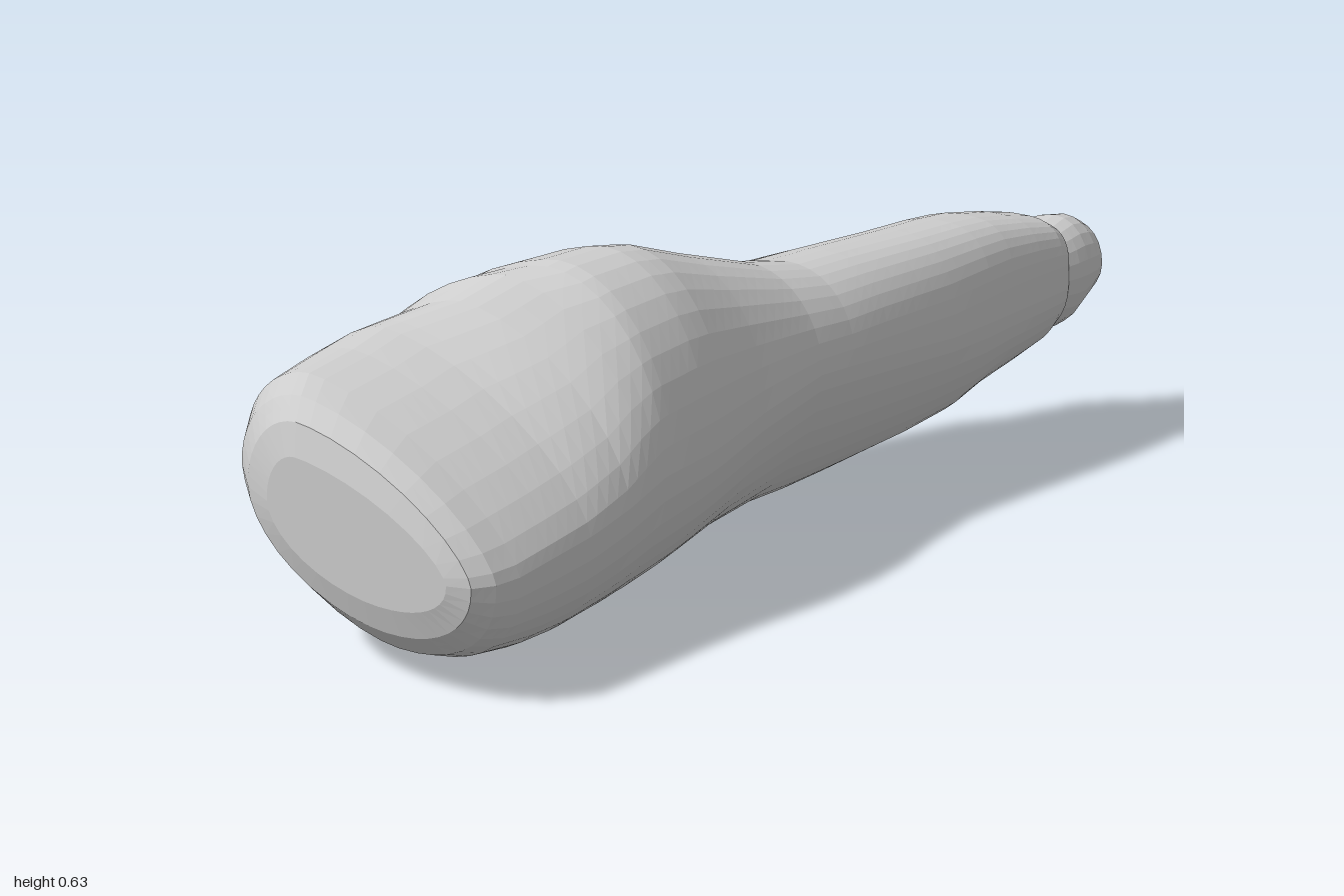
import * as THREE from 'three';

// Body extents along its length: z, left x, right x, bottom y, top y
const bodyExtents = [
  [1.0, -0.15, 0.25, 0.15, 0.37],
  [0.985, -0.21, 0.29, 0.1, 0.425],
  [0.95, -0.26, 0.312, 0.06, 0.458],
  [0.9, -0.295, 0.318, 0.04, 0.48],
  [0.8, -0.335, 0.32, 0.018, 0.5],
  [0.7, -0.34, 0.322, 0.008, 0.53],
  [0.62, -0.343, 0.322, 0.003, 0.56],
  [0.57, -0.346, 0.322, 0.001, 0.605],
  [0.5, -0.35, 0.322, 0.002, 0.627],
  [0.4, -0.345, 0.32, 0.01, 0.635],
  [0.34, -0.31, 0.315, 0.016, 0.628],
  [0.2, -0.275, 0.297, 0.03, 0.585],
  [0.0, -0.25, 0.282, 0.035, 0.53],
  [-0.1, -0.23, 0.288, 0.042, 0.515],
  [-0.2, -0.18, 0.298, 0.055, 0.52],
  [-0.4, -0.1, 0.322, 0.085, 0.525],
  [-0.52, -0.06, 0.332, 0.11, 0.527],
  [-0.6, -0.035, 0.336, 0.145, 0.525],
  [-0.7, 0.03, 0.342, 0.175, 0.512],
  [-0.78, 0.055, 0.345, 0.2, 0.497],
  [-0.815, 0.08, 0.338, 0.22, 0.48],
];

// Section character: z, crest x, keel x, left y, right y, then the roundness of
// the upper right, upper left, lower left and lower right quarters
const bodyShape = [
  [1.0, -0.08, 0.1, 0.28, 0.22, 1.5, 2, 1.8, 2.2],
  [0.9, -0.14, 0.09, 0.34, 0.22, 1.45, 1.9, 1.6, 2.3],
  [0.72, -0.13, 0.07, 0.34, 0.24, 1.5, 1.7, 1.75, 2.2],
  [0.62, -0.05, 0.05, 0.34, 0.26, 1.65, 1.6, 1.9, 2.1],
  [0.52, 0.07, 0.05, 0.34, 0.29, 1.95, 1.6, 2.1, 2],
  [0.36, 0.1, 0.05, 0.34, 0.3, 2, 1.5, 2.5, 1.85],
  [0.2, 0.1, 0.05, 0.3, 0.32, 2, 1.5, 3.3, 1.75],
  [0.0, 0.11, 0.05, 0.28, 0.34, 2, 1.6, 3.2, 1.65],
  [-0.4, 0.18, 0.13, 0.29, 0.33, 2.6, 1.8, 3, 1.75],
  [-0.815, 0.22, 0.2, 0.33, 0.35, 3.6, 2, 2.6, 2.1],
];

const tipExtents = [
  [-0.8, 0.11, 0.325, 0.25, 0.45],
  [-0.82, 0.085, 0.338, 0.237, 0.465],
  [-0.85, 0.078, 0.345, 0.232, 0.473],
  [-0.88, 0.1, 0.348, 0.237, 0.48],
  [-0.92, 0.155, 0.346, 0.275, 0.475],
  [-0.96, 0.185, 0.335, 0.29, 0.457],
  [-0.985, 0.205, 0.315, 0.315, 0.43],
  [-1.0, 0.24, 0.28, 0.35, 0.395],
];
const tipShape = [
  [-0.8, 0.26, 0.22, 0.31, 0.36, 2.2, 1.6, 2.5, 2],
  [-1.0, 0.26, 0.26, 0.37, 0.37, 2, 2, 2, 2],
];

// Straight interpolation of a station table, rows ordered by falling z
function sample(table, z) {
  let i = 0;
  while (i < table.length - 2 && table[i + 1][0] > z) i++;
  const [a, b] = [table[i], table[i + 1]];
  const t = THREE.MathUtils.clamp((a[0] - z) / (a[0] - b[0]), 0, 1);
  return a.map((v, k) => THREE.MathUtils.lerp(v, b[k], t));
}

// One closed section: four super-ellipse quarters joining the extreme points
function section(extents, shape, z, sides) {
  const [, xl, xr, yb, yt] = sample(extents, z);
  const [, xt, xb, yl, yr, ...round] = sample(shape, z);
  const ring = [];
  for (let j = 0; j < sides; j++) {
    const a = (j / sides) * Math.PI * 2;
    const q = Math.floor((j * 4) / sides);
    const right = q === 0 || q === 3;
    const upper = q < 2;
    const cx = upper ? xt : xb;
    const cy = right ? yr : yl;
    const c = Math.abs(Math.cos(a)) ** (2 / round[q]);
    const s = Math.abs(Math.sin(a)) ** (2 / round[q]);
    ring.push([cx + ((right ? xr : xl) - cx) * c, cy + ((upper ? yt : yb) - cy) * s]);
  }
  return ring;
}

// Skin the sections and close both ends
function loft(extents, shape, step, sides) {
  const zs = [];
  extents.forEach(([z], i) => {
    const next = extents[i + 1];
    const n = next ? Math.max(1, Math.ceil((z - next[0]) / step)) : 1;
    for (let k = 0; k < n; k++) zs.push(next ? THREE.MathUtils.lerp(z, next[0], k / n) : z);
  });
  const pos = [];
  const index = [];
  const ends = [];
  zs.forEach((z, i) => {
    const ring = section(extents, shape, z, sides);
    ring.forEach(([x, y]) => pos.push(x, y, z));
    if (i === 0 || i === zs.length - 1) {
      ends.push([0, 1].map((k) => ring.reduce((sum, p) => sum + p[k], 0) / sides).concat(z));
    }
  });
  const last = (zs.length - 1) * sides;
  const front = zs.length * sides;
  pos.push(...ends[0], ...ends[1]);
  for (let j = 0; j < sides; j++) {
    const k = (j + 1) % sides;
    for (let i = 0; i < zs.length - 1; i++) {
      const a = i * sides;
      const b = a + sides;
      index.push(a + j, b + j, b + k, a + j, b + k, a + k);
    }
    index.push(front, j, k, front + 1, last + k, last + j);
  }
  const geometry = new THREE.BufferGeometry();
  geometry.setAttribute('position', new THREE.Float32BufferAttribute(pos, 3));
  geometry.setIndex(index);
  geometry.computeVertexNormals();
  return geometry;
}

export function createModel() {
  const model = new THREE.Group();
  model.name = 'taperedLump';
  const material = new THREE.MeshStandardMaterial({ color: 0xcccccc, flatShading: true });

  // Long tapering body with a hump and a sloping front face
  const body = new THREE.Mesh(loft(bodyExtents, bodyShape, 0.03, 40), material);
  body.name = 'body';

  // Small knob behind the groove at the narrow end
  const tip = new THREE.Mesh(loft(tipExtents, tipShape, 0.02, 24), material);
  tip.name = 'tipKnob';

  model.add(body, tip);
  return model;
}
